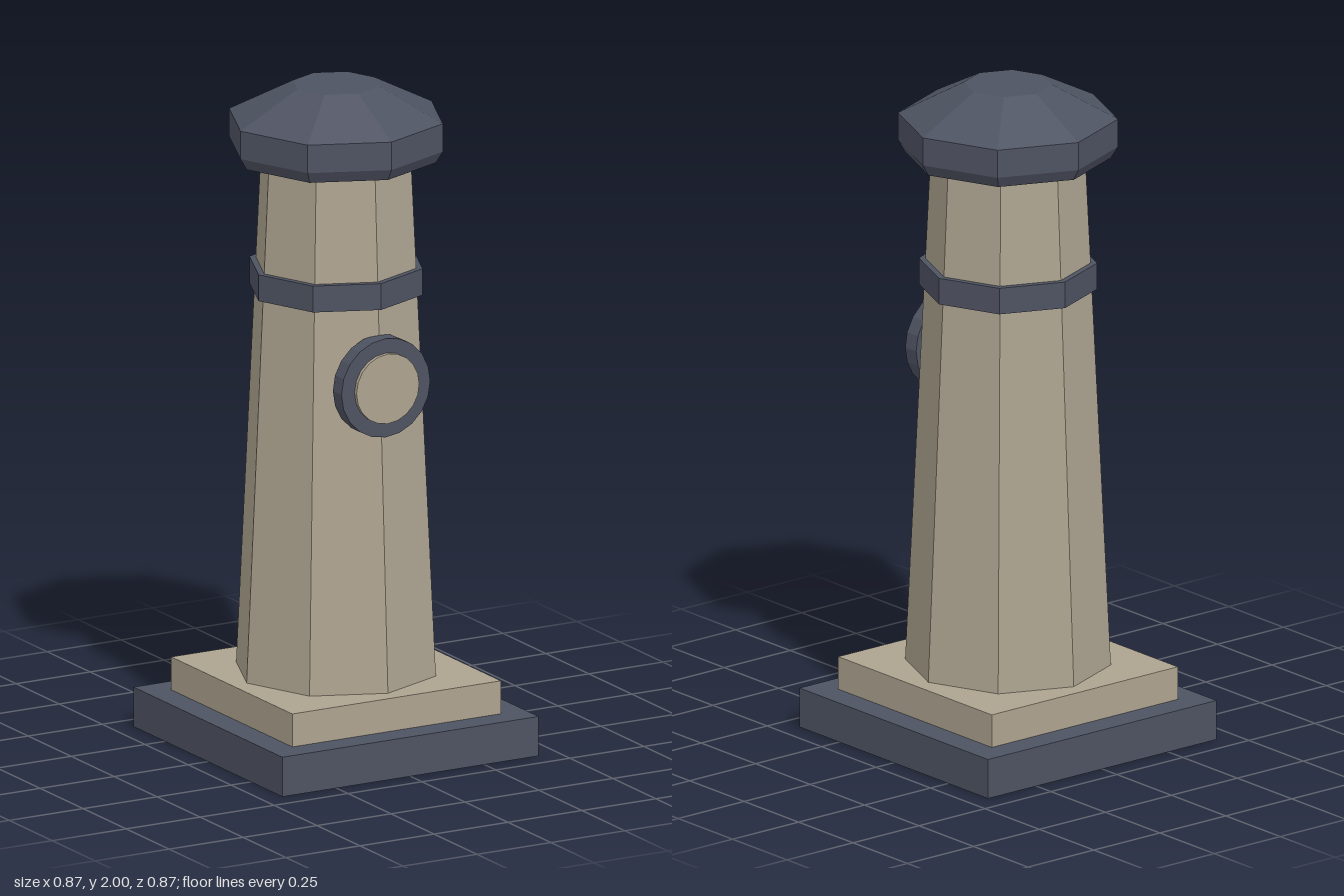
import * as THREE from 'three';

export function createModel() {
  const model = new THREE.Group();
  model.name = 'tower';

  const stone = new THREE.MeshStandardMaterial({ color: 0xada390, flatShading: true });
  stone.name = 'warm stone';
  const slate = new THREE.MeshStandardMaterial({ color: 0x4e5362, flatShading: true });
  slate.name = 'dark slate';

  const add = (name, geometry, material, y, z = 0) => {
    const mesh = new THREE.Mesh(geometry, material);
    mesh.name = name;
    mesh.position.set(0, y, z);
    model.add(mesh);
    return mesh;
  };

  // Square stepped base
  add('basePlinth', new THREE.BoxGeometry(0.866, 0.12, 0.866), slate, 0.06);
  add('baseStep', new THREE.BoxGeometry(0.705, 0.1, 0.705), stone, 0.17);

  // Tapered octagonal shaft, with a corner facing the front
  add('shaft', new THREE.CylinderGeometry(0.227, 0.302, 1.56, 8), stone, 1.0);

  // Octagonal band around the shaft
  add('band', new THREE.CylinderGeometry(0.262, 0.262, 0.08, 8), slate, 1.415);

  // Octagonal cap: undercut, rim, sloping roof and flat top
  const capProfile = [[0, 1.78], [0.302, 1.78], [0.323, 1.815], [0.323, 1.9], [0.13, 2], [0, 2]]
    .map(([r, y]) => new THREE.Vector2(r, y));
  add('cap', new THREE.LatheGeometry(capProfile, 8), slate, 0);

  // Round medallion on the front: dark rim and raised pale face
  const disc = (name, radius, back, front, material) => {
    const geometry = new THREE.CylinderGeometry(radius, radius, front - back, 20);
    geometry.rotateX(Math.PI / 2);
    add(name, geometry, material, 1.145, (front + back) / 2);
  };
  disc('medallionRim', 0.15, 0.24, 0.29, slate);
  disc('medallionFace', 0.106, 0.25, 0.302, stone);

  return model;
}
